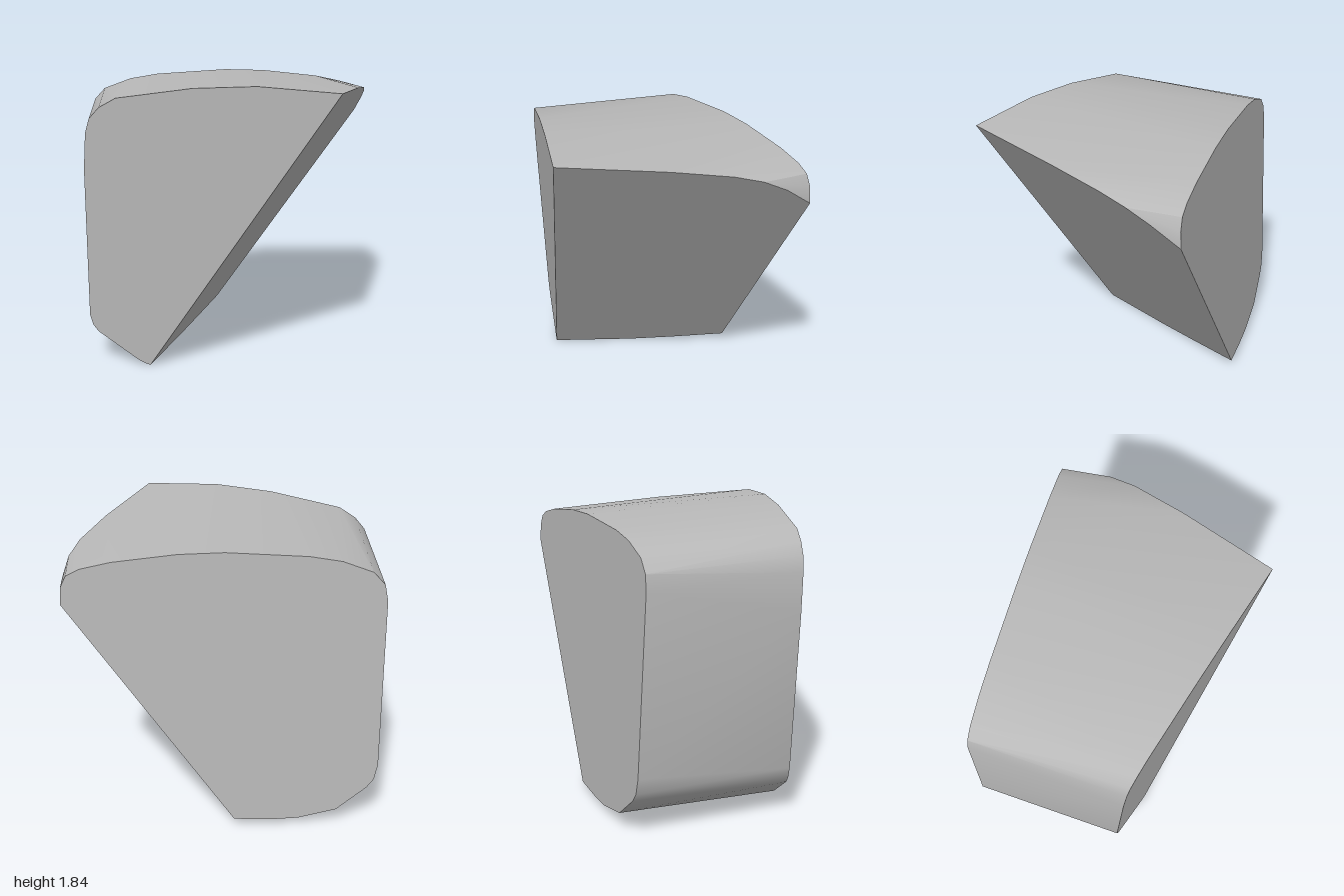
import * as THREE from 'three';
import { ConvexGeometry } from 'three/addons/geometries/ConvexGeometry.js';
import { toCreasedNormals } from 'three/addons/utils/BufferGeometryUtils.js';

// The three flat faces, each as z = f(x, y)
const frontPlane = (x, y) => 0.546 + 0.39 * x + 0.046 * y;
const backPlane = (x, y) => -0.763 + 0.073 * x + 0.061 * y;
const cutPlane = (x, y) => -0.8279 - 1.7908 * x + 1.3593 * y;

const onPlane = (outline, plane) =>
  outline.map(([x, y]) => new THREE.Vector3(x, y, plane(x, y)));

export function createModel() {
  const group = new THREE.Group();
  group.name = 'wedgeStone';

  // Rounded outline of the front face
  const front = [
    [-0.63, 0], [-0.66, 0.01], [-0.70, 0.03], [-0.95, 0.215], [-0.982, 0.26], [-1, 0.33],
    [-1, 1.3], [-0.985, 1.53], [-0.96, 1.62], [-0.9, 1.69], [-0.8, 1.75],
    [-0.36, 1.82], [0, 1.84], [0.46, 1.81],
  ];
  // Slightly smaller outline of the back face
  const back = [
    [0, 0.05], [-0.235, 0.045], [-0.4, 0.055], [-0.64, 0.115], [-0.825, 0.27], [-0.87, 0.33],
    [-0.89, 0.43], [-0.89, 1.5], [-0.87, 1.6], [-0.8, 1.675], [-0.62, 1.74], [-0.43, 1.77],
    [0.05, 1.795], [0.32, 1.785], [0.7, 1.74], [0.88, 1.7], [0.96, 1.66], [0.995, 1.59], [1, 1.4856],
  ];
  // Curved edges where the slanted cut meets the top and the underside
  const cut = [
    [0.75, 1.76], [0.9, 1.715], [0.96, 1.67], [0.99, 1.6],
    [-0.36, 0], [-0.2, 0.018],
  ];

  const hull = new ConvexGeometry([
    ...onPlane(front, frontPlane),
    ...onPlane(back, backPlane),
    ...onPlane(cut, cutPlane),
  ]);

  const stone = new THREE.MeshStandardMaterial({ color: 0xb8b8b8 });
  stone.name = 'stone grey';
  const mesh = new THREE.Mesh(toCreasedNormals(hull, 0.45), stone);
  mesh.name = 'wedgeBlock';
  group.add(mesh);
  return group;
}
